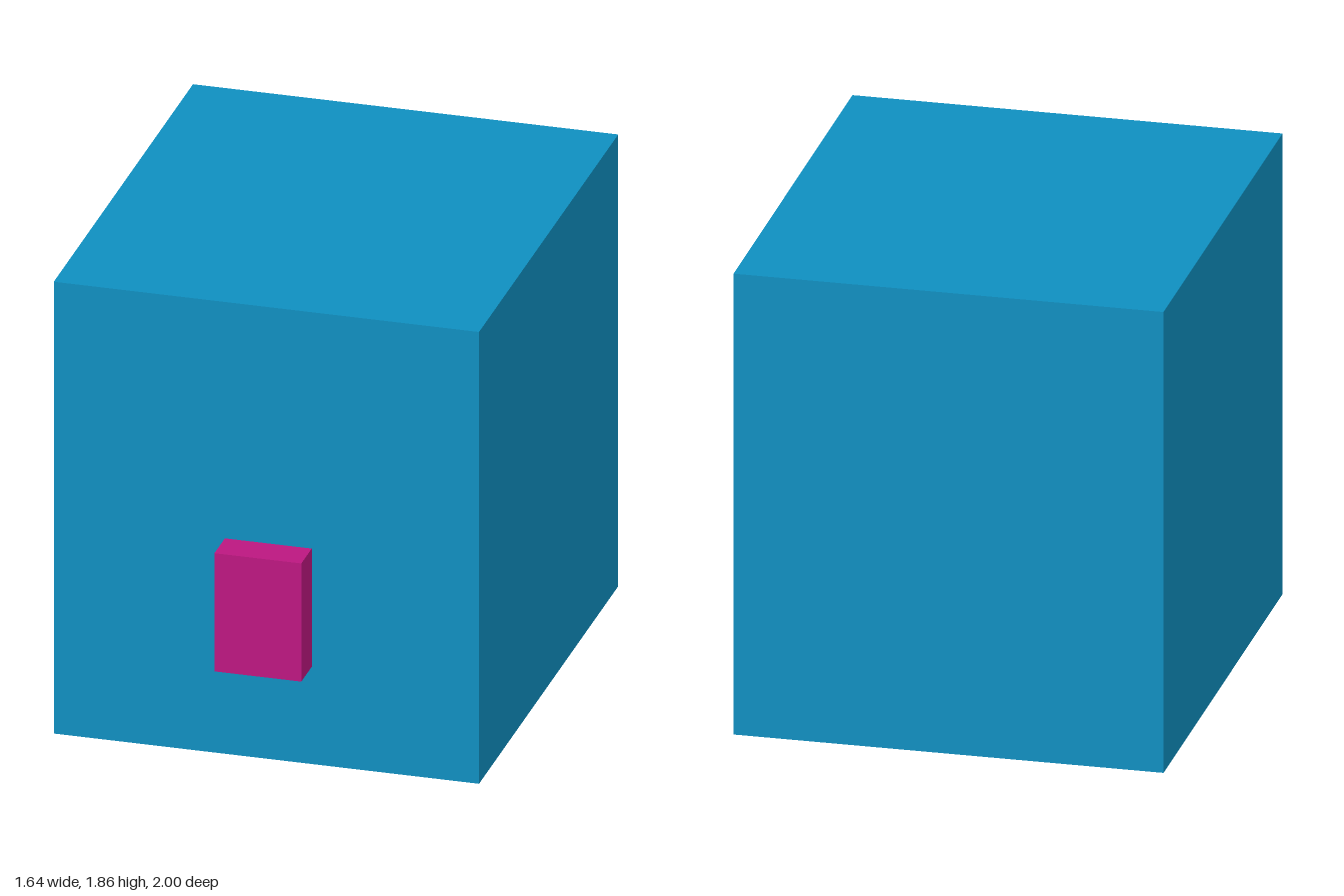
import * as THREE from 'three';

export function createModel() {
  const model = new THREE.Group();
  const blue = new THREE.MeshStandardMaterial({ color: 0x0f8fc0 });
  const magenta = new THREE.MeshStandardMaterial({ color: 0xbc1780 });
  const grey = new THREE.MeshStandardMaterial({ color: 0xcccccc });

  // Box given by its lower and upper limits on each axis
  function addBox(name, material, [x0, x1], [y0, y1], [z0, z1]) {
    const geometry = new THREE.BoxGeometry(x1 - x0, y1 - y0, z1 - z0);
    geometry.translate((x0 + x1) / 2, (y0 + y1) / 2, (z0 + z1) / 2);
    const mesh = new THREE.Mesh(geometry, material);
    mesh.name = name;
    model.add(mesh);
  }

  // Rectangle on the ground plane, drawn with shape y = -z
  function rectangle(PathType, [x0, x1], [z0, z1]) {
    return new PathType([
      new THREE.Vector2(x0, -z0), new THREE.Vector2(x0, -z1),
      new THREE.Vector2(x1, -z1), new THREE.Vector2(x1, -z0),
    ]);
  }

  const bodyX = [-0.82, 0.82], bodyZ = [-1, 0.86];
  const bottom = 0.025, plateTop = 0.06;

  // Large block and the block on its front
  addBox('body', blue, bodyX, [plateTop, 1.86], bodyZ);
  addBox('frontBlock', magenta, [-0.16, 0.175], [0.42, 0.9], [0.86, 1]);

  // Base plate with two shallow recesses, each with a grey floor
  const recesses = [
    { x: [-0.6, 0.61], z: [-0.72, -0.5], floor: 0.055 },
    { x: [-0.55, 0.56], z: [0.11, 0.33], floor: 0.045 },
  ];
  const outline = rectangle(THREE.Shape, bodyX, bodyZ);
  for (const { x, z, floor } of recesses) {
    outline.holes.push(rectangle(THREE.Path, x, z));
    addBox('recessFloor', grey, x, [floor, 0.08], z);
  }
  const plate = new THREE.ExtrudeGeometry(outline, { depth: plateTop - bottom, bevelEnabled: false });
  plate.rotateX(-Math.PI / 2);
  plate.translate(0, bottom, 0);
  const basePlate = new THREE.Mesh(plate, blue);
  basePlate.name = 'basePlate';
  model.add(basePlate);

  // Raised slats the block stands on
  addBox('rearSlat', grey, [-0.56, 0.54], [0, 0.04], [-0.28, -0.06]);
  addBox('frontSlat', grey, [-0.52, 0.56], [0, 0.04], [0.56, 0.78]);

  return model;
}
